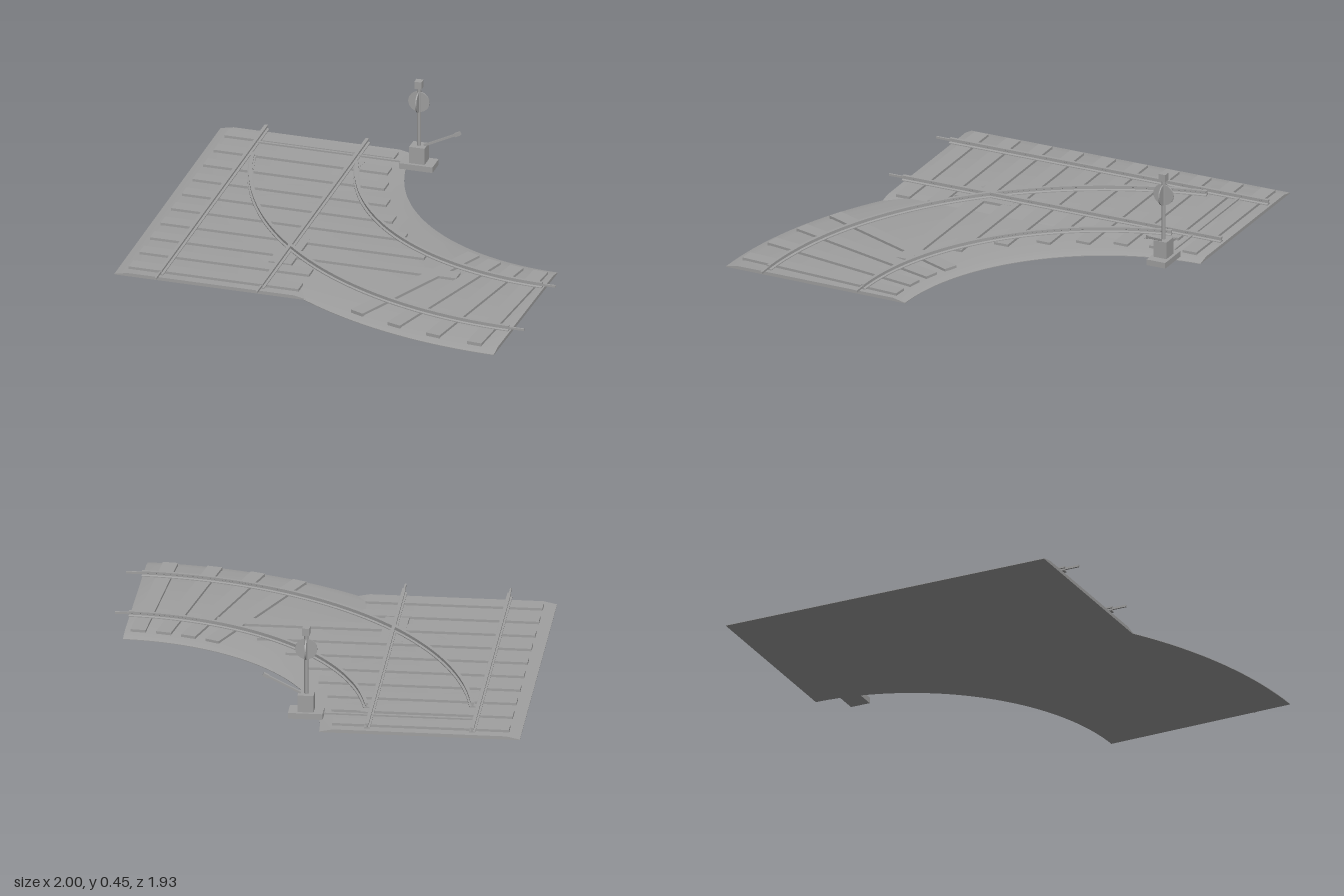
import * as THREE from 'three';
import { toCreasedNormals } from 'three/addons/utils/BufferGeometryUtils.js';

const CX = 0.955, CZ = -0.99;          // centre of the curved track
const BACK = -0.97, FRONT = 0.66;      // ends of the straight track
const END = THREE.MathUtils.degToRad(1.1);

// Paths: points with a unit direction
const line = (x0, z0, x1, z1) => {
  const l = Math.hypot(x1 - x0, z1 - z0), tx = (x1 - x0) / l, tz = (z1 - z0) / l;
  return [{ x: x0, z: z0, tx, tz }, { x: x1, z: z1, tx, tz }];
};
const arc = (r, from, to, n = 40) => Array.from({ length: n + 1 }, (_, i) => {
  const a = from + (to - from) * i / n;
  return { x: CX - r * Math.sin(a), z: CZ + r * Math.cos(a), tx: Math.cos(a), tz: Math.sin(a) };
});

// Sweeps a counter-clockwise section [offset, height] along a path and caps it
function sweep(section, path) {
  const out = [];
  const at = (p, [o, y]) => [p.x - p.tz * o, y, p.z + p.tx * o];
  for (let i = 0; i < path.length - 1; i++) {
    section.forEach((s, k) => {
      const t = section[(k + 1) % section.length];
      const a = at(path[i], s), b = at(path[i], t), c = at(path[i + 1], t), d = at(path[i + 1], s);
      out.push(...a, ...d, ...c, ...a, ...c, ...b);
    });
  }
  const caps = THREE.ShapeUtils.triangulateShape(section.map(s => new THREE.Vector2(...s)), []);
  const last = path[path.length - 1];
  for (const [a, b, c] of caps) {
    out.push(...at(path[0], section[a]), ...at(path[0], section[b]), ...at(path[0], section[c]));
    out.push(...at(last, section[a]), ...at(last, section[c]), ...at(last, section[b]));
  }
  const g = new THREE.BufferGeometry();
  g.setAttribute('position', new THREE.Float32BufferAttribute(out, 3));
  return toCreasedNormals(g, 0.5);
}

// Mirrors a half section (bottom to top, right side) into a full one
const mirrored = half => [...half, ...half.slice().reverse().map(([o, y]) => [-o, y])];

export function createModel() {
  const model = new THREE.Group();
  const grey = new THREE.MeshStandardMaterial({ color: 0xa0a0a0 });
  grey.name = 'grey';
  const add = (name, geometry, parent = model) => {
    const m = new THREE.Mesh(geometry, grey);
    m.name = name;
    parent.add(m);
    return m;
  };
  const box = (name, x0, x1, y0, y1, z0, z1, parent) => {
    const m = add(name, new THREE.BoxGeometry(x1 - x0, y1 - y0, z1 - z0), parent);
    m.position.set((x0 + x1) / 2, (y0 + y1) / 2, (z0 + z1) / 2);
    return m;
  };

  // Ballast beds
  const bed = mirrored([[0.4625, 0], [0.4625, 0.003], [0.4, 0.016]]);
  add('straightBallast', sweep(bed, line(-0.5375, FRONT, -0.5375, BACK)));
  add('curvedBallast', sweep(bed, arc(1.4925, Math.PI / 2 - END, END, 48)));

  // Straight ties, lengthening towards the diverging track
  const ties = new THREE.Group();
  ties.name = 'ties';
  model.add(ties);
  [-0.13, -0.11, -0.075, -0.015, 0.065, 0.17, 0.32, 0.525, -0.13, -0.13].forEach((right, i) => {
    const z = -0.887 + i * 0.163;
    box('straightTie', -0.945, right, 0.004, 0.028, z - 0.035, z + 0.035, ties);
  });
  // Radial ties
  for (const deg of [23.4, 17, 10.7, 4.4]) {
    const a = THREE.MathUtils.degToRad(deg), r = 1.5;
    const tie = add('curvedTie', new THREE.BoxGeometry(0.07, 0.024, 0.82), ties);
    tie.position.set(CX - r * Math.sin(a), 0.016, CZ + r * Math.cos(a));
    tie.rotation.y = -a;
  }

  // Rails with foot, web and head
  const rail = mirrored([[0.014, 0.028], [0.014, 0.032], [0.004, 0.035],
    [0.004, 0.042], [0.008, 0.044], [0.008, 0.052]]);
  const pin = mirrored([[0.004, 0.036], [0.004, 0.046]]);
  for (const x of [-0.78, -0.295]) {
    add('straightRail', sweep(rail, line(x, FRONT, x, BACK)));
    add('railPin', sweep(pin, line(x, FRONT - 0.02, x, FRONT + 0.07)));
  }
  for (const [r, start] of [[1.735, 1.385], [1.25, 1.36]]) {
    add('curvedRail', sweep(rail, arc(r, start, END)));
    const [e] = arc(r, END, 0, 1);
    add('railPin', sweep(pin, line(e.x - 0.02, e.z, 0.995, e.z)));
  }

  // Crossing plate and switch point plate
  box('crossingPlate', -0.35, -0.24, 0.01, 0.0285, 0.085, 0.37);
  box('pointPlate', -0.295, -0.245, 0.01, 0.029, -0.775, -0.73);

  // Throw rod between the points and the stand
  box('throwRod', -0.78, 0, 0.029, 0.037, -0.825, -0.813);

  // Switch stand
  const stand = new THREE.Group();
  stand.name = 'switchStand';
  stand.position.set(0, 0, -0.819);
  model.add(stand);
  box('standBase', -0.08, 0.08, 0.018, 0.046, -0.048, 0.048, stand);
  box('standBody', -0.037, 0.037, 0.046, 0.128, -0.033, 0.033, stand);
  const post = add('post', new THREE.CylinderGeometry(0.01, 0.01, 0.295, 8), stand);
  post.position.y = 0.273;
  box('lamp', -0.017, 0.017, 0.418, 0.454, -0.017, 0.017, stand);
  // Crossed target discs
  for (const turn of [0, Math.PI / 2]) {
    const disc = add('targetDisc', new THREE.CylinderGeometry(0.051, 0.051, 0.006, 24)
      .rotateX(Math.PI / 2), stand);
    disc.position.y = 0.348;
    disc.rotation.y = turn;
  }
  // Throw lever with grip
  const lever = new THREE.Group();
  lever.name = 'lever';
  lever.position.set(0.025, 0.13, 0);
  lever.rotation.z = 0.455;
  stand.add(lever);
  box('leverArm', 0, 0.18, -0.005, 0.005, -0.005, 0.005, lever);
  box('leverGrip', 0.165, 0.193, -0.008, 0.008, -0.008, 0.008, lever);
  return model;
}
